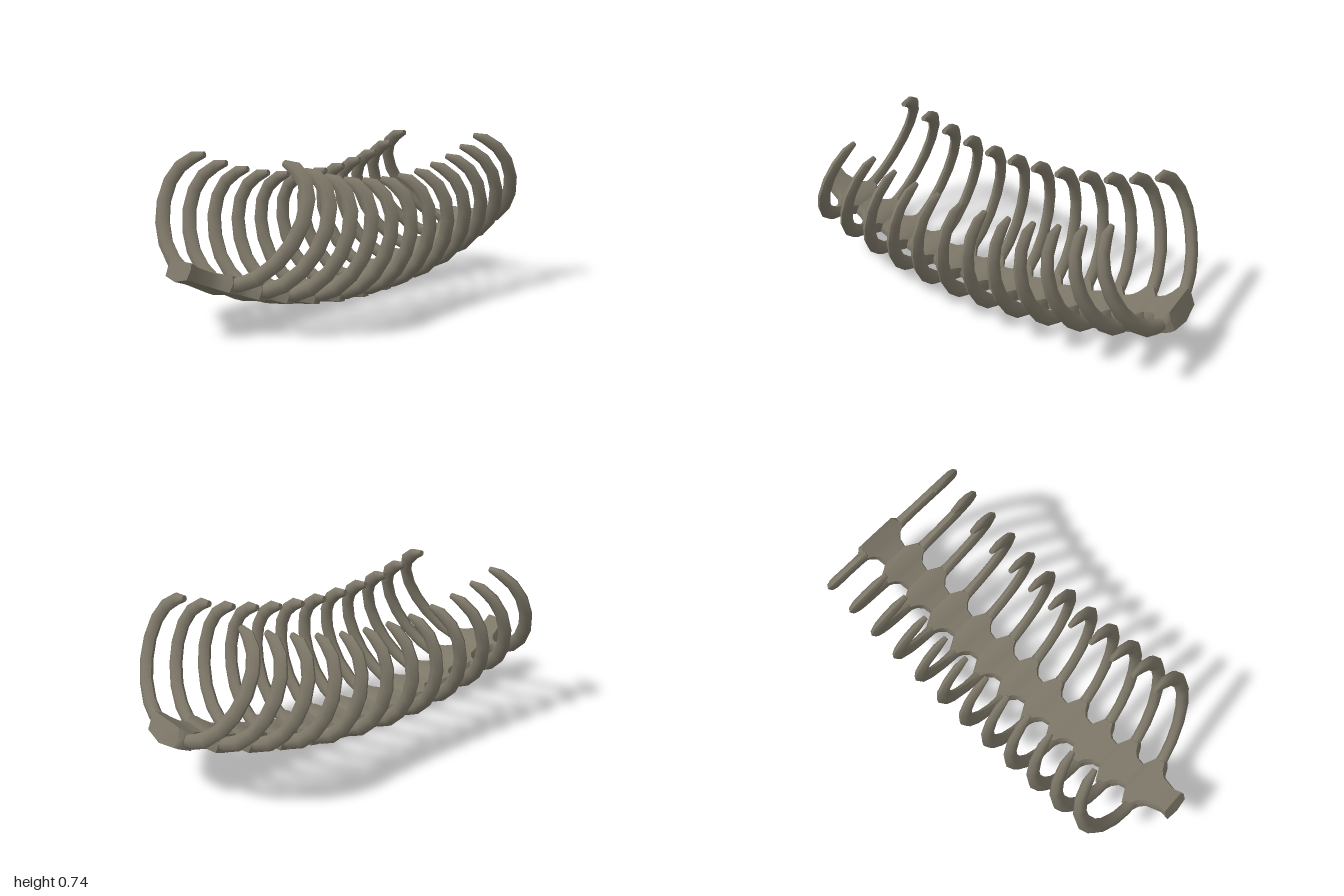
import * as THREE from 'three';
import { toCreasedNormals } from 'three/addons/utils/BufferGeometryUtils.js';

const RADIUS = 2.25;      // curvature of the spine
const BASE_Y = 0.043;     // height of the spine's lowest centre point
const RIBS = 12;
const FIRST = -0.373;     // angle of the first rib along the arc
const STEP = 0.0735;

// Closed skin over equal-sized rings that turn right-handed around the sweep
function loft(rings, crease) {
  const n = rings[0].length, pts = rings.flat(), index = [];
  const last = (rings.length - 1) * n;
  const mid = (ring) => ring.reduce((s, p) => s.add(p), new THREE.Vector3()).divideScalar(n);
  pts.push(mid(rings[0]), mid(rings[rings.length - 1]));
  for (let j = 0; j < n; j++) {
    const k = (j + 1) % n;
    for (let a = 0; a < last; a += n) {
      index.push(a + j, a + k, a + n + j, a + k, a + n + k, a + n + j);
    }
    index.push(last + n, k, j, last + n + 1, last + j, last + k);
  }
  const geo = new THREE.BufferGeometry().setFromPoints(pts);
  geo.setIndex(index);
  return toCreasedNormals(geo, crease);
}

// Point on the spine arc, raised towards its centre by y, offset sideways by z
function onArc(angle, y, z) {
  const r = RADIUS - y, x = r * Math.sin(angle);
  return new THREE.Vector3(x, BASE_Y + RADIUS - r * Math.cos(angle), z + 0.025 * x);
}

// Flat-topped vertebra section with a shallow keel underneath
function spineRing(angle, w, h) {
  const half = [[0.88, 1], [1, 0.35], [0.94, -0.62]];
  const section = [[0, h], ...half.map(([z, y]) => [z * w, y * h]), [0, -h],
    ...half.slice().reverse().map(([z, y]) => [-z * w, y * h])];
  return section.map(([z, y]) => onArc(angle, y, z));
}

// One vertebra: narrow body flaring into the wings that hold the ribs
function vertebra(i) {
  const angle = FIRST + i * STEP;
  let profile = [[-0.105, 0.07, 0.034], [-0.06, 0.078, 0.035], [-0.035, 0.105, 0.038],
    [-0.018, 0.143, 0.042], [0.025, 0.138, 0.044], [0.045, 0.1, 0.04], [0.062, 0.07, 0.034]];
  if (i === 0) profile = [[-0.18, 0.066, 0.042], [-0.135, 0.058, 0.037], ...profile.slice(1)];
  if (i === RIBS - 1) profile = [...profile.slice(0, 4), [0.03, 0.13, 0.048], [0.046, 0.11, 0.052]];
  return loft(profile.map(([s, w, h]) => spineRing(angle + s / RADIUS, w, h)), 0.7);
}

// Rib: flattened tube curling up and inwards in the z-y plane
function ribGeometry() {
  const path = [[0.09, 0.005], [0.155, 0.02], [0.225, 0.055], [0.3, 0.125], [0.35, 0.21], [0.375, 0.3],
    [0.37, 0.39], [0.335, 0.46], [0.275, 0.505], [0.215, 0.523]];
  const thick = [0.026, 0.032, 0.035, 0.035, 0.036, 0.036, 0.036, 0.035, 0.03, 0.014];
  const wide = [0.03, 0.026, 0.025, 0.025, 0.025, 0.024, 0.023, 0.022, 0.021, 0.012];
  const pts = path.map(([z, y]) => new THREE.Vector3(0, y, z));
  const side = new THREE.Vector3(1, 0, 0);
  const rings = pts.map((p, i) => {
    const t = pts[Math.min(i + 1, pts.length - 1)].clone().sub(pts[Math.max(i - 1, 0)]).normalize();
    const v = t.cross(side);
    return Array.from({ length: 8 }, (_, j) => {
      const a = (j / 8) * Math.PI * 2;
      return p.clone().addScaledVector(side, Math.cos(a) * wide[i]).addScaledVector(v, Math.sin(a) * thick[i]);
    });
  });
  return loft(rings, 0.95);
}

export function createModel() {
  const model = new THREE.Group();
  model.name = 'ribcage';
  const bone = new THREE.MeshStandardMaterial({ color: 0x7d7768 });
  const ribGeo = ribGeometry();
  const add = (parent, geo, name) => {
    const mesh = new THREE.Mesh(geo, bone);
    mesh.name = name;
    parent.add(mesh);
    return mesh;
  };

  const spine = new THREE.Group();
  spine.name = 'spine';
  model.add(spine);

  for (let i = 0; i < RIBS; i++) {
    add(spine, vertebra(i), 'vertebra');

    // Rib pair, square to the spine with a slight twist at one end
    const angle = FIRST + i * STEP;
    const pair = new THREE.Group();
    pair.name = 'ribPair';
    pair.position.copy(onArc(angle, 0, 0));
    pair.rotation.set(0, 0.09 * (1 - i / (RIBS - 1)) ** 1.5, angle, 'ZYX');
    add(pair, ribGeo, 'frontRib');
    add(pair, ribGeo, 'backRib').rotation.y = Math.PI;
    model.add(pair);
  }
  return model;
}
